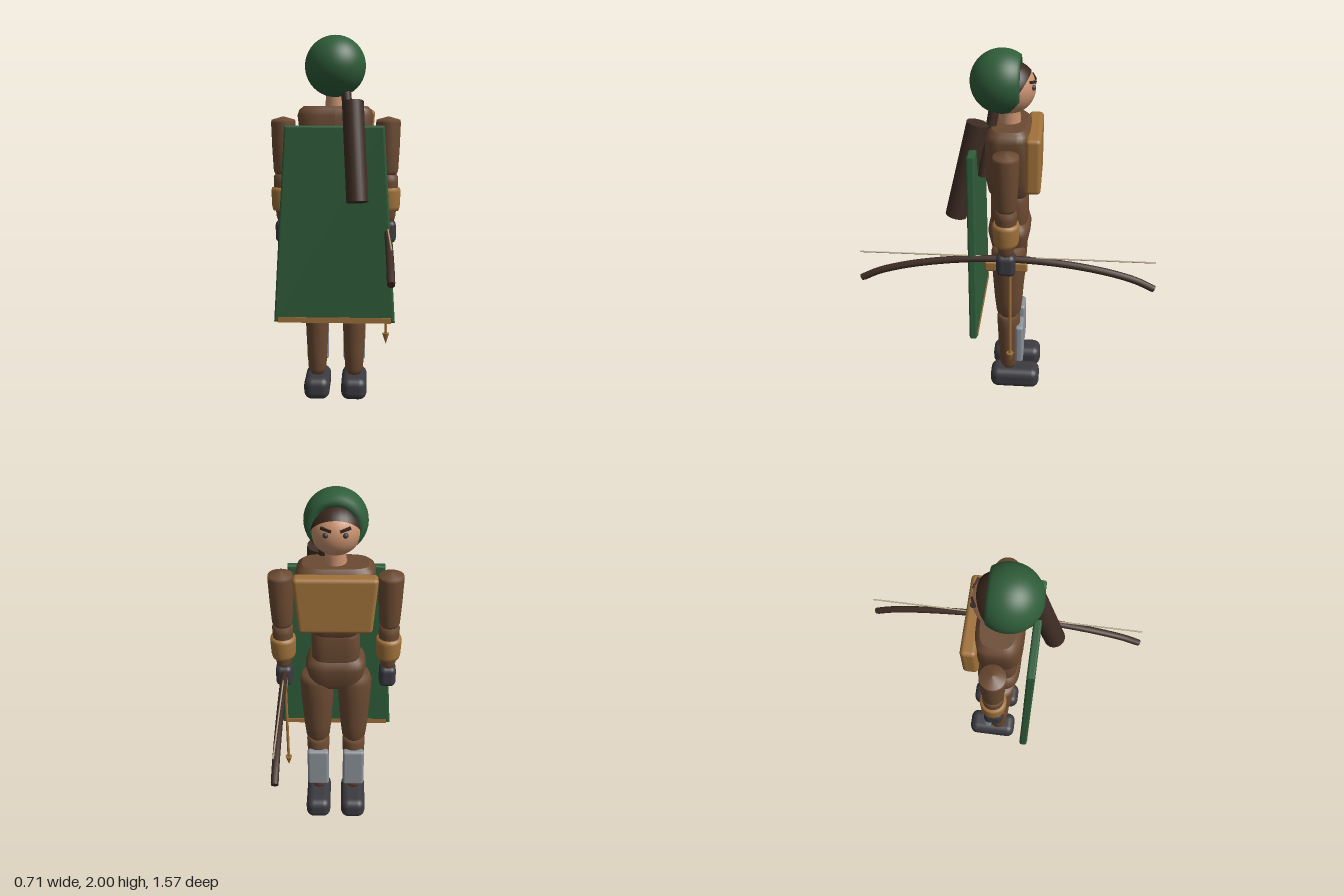
import * as THREE from 'three';
import { RoundedBoxGeometry } from 'three/addons/geometries/RoundedBoxGeometry.js';

const material = (name, color) => Object.assign(new THREE.MeshStandardMaterial({ color }), { name });

export function createModel() {
  const leather = material('brown leather', 0x6b4a32);
  const tan = material('tan leather', 0xa0723a);
  const wood = material('dark wood', 0x3f2d25);
  const green = material('forest green', 0x2f5d3a);
  const skin = material('skin', 0xc9926f);
  const dark = material('charcoal', 0x3a3a40);
  const steel = material('steel', 0x8b9299);
  const cord = material('bow cord', 0xb5a68a);
  const hairMat = material('dark hair', 0x38261d);

  const model = new THREE.Group();
  model.name = 'archer';

  const add = (name, geometry, mat, x = 0, y = 0, z = 0) => {
    const mesh = new THREE.Mesh(geometry, mat);
    mesh.name = name;
    mesh.position.set(x, y, z);
    model.add(mesh);
    return mesh;
  };
  const box = (w, h, d, r) => new RoundedBoxGeometry(w, h, d, 4, r);
  const turned = (points) =>
    new THREE.LatheGeometry(points.map(([r, y]) => new THREE.Vector2(r, y)), 28);

  // Soft box body: each section is [y, half width, half depth]
  const loft = (sections) => {
    const n = sections.length - 1;
    const geometry = new THREE.CylinderGeometry(1, 1, 1, 40, n);
    const p = geometry.attributes.position;
    const soft = (v) => Math.sign(v) * Math.pow(Math.abs(v), 0.55);
    for (let i = 0; i < p.count; i++) {
      const [y, w, d] = sections[Math.round((p.getY(i) + 0.5) * n)];
      p.setXYZ(i, soft(p.getX(i)) * w, y, soft(p.getZ(i)) * d);
    }
    geometry.computeVertexNormals();
    return geometry;
  };

  // Rod between two points
  const rod = (name, a, b, r, mat) => {
    const from = new THREE.Vector3(...a), to = new THREE.Vector3(...b);
    const dir = to.clone().sub(from);
    const mesh = add(name, new THREE.CylinderGeometry(r, r, dir.length(), 24), mat);
    mesh.position.copy(from).add(to).multiplyScalar(0.5);
    mesh.quaternion.setFromUnitVectors(new THREE.Vector3(0, 1, 0), dir.normalize());
    return mesh;
  };

  // Torso
  add('pelvis', loft([[0.89, 0.11, 0.07], [0.93, 0.14, 0.095], [1.03, 0.165, 0.115],
    [1.07, 0.155, 0.105], [1.09, 0.13, 0.08]]), leather);
  add('waist', loft([[1.06, 0.11, 0.085], [1.09, 0.13, 0.1], [1.22, 0.13, 0.1],
    [1.26, 0.11, 0.085]]), leather);
  add('chest', loft([[1.23, 0.11, 0.09], [1.27, 0.14, 0.112], [1.35, 0.165, 0.124],
    [1.5, 0.195, 0.125], [1.58, 0.205, 0.12], [1.61, 0.195, 0.11], [1.63, 0.17, 0.09]]), leather);

  // Chest plate, slightly narrower at the bottom
  const plate = box(0.43, 0.31, 0.08, 0.022);
  const pp = plate.attributes.position;
  for (let i = 0; i < pp.count; i++) pp.setX(i, pp.getX(i) * (0.94 + 0.387 * pp.getY(i)));
  add('chestPlate', plate, tan, 0, 1.455, -0.128);

  // Limbs, mirrored
  for (const [side, s] of [['left', 1], ['right', -1]]) {
    const leg = 0.104 * s, arm = 0.285 * s;
    add(side + 'Boot', box(0.143, 0.125, 0.285, 0.045), dark, leg, 0.0625, -0.037);
    add(side + 'Shin', turned([[0, 0.125], [0.035, 0.13], [0.05, 0.16], [0.056, 0.25],
      [0.064, 0.42], [0.066, 0.49], [0.05, 0.505], [0, 0.505]]), leather, leg);
    add(side + 'ShinGuard', box(0.125, 0.25, 0.046, 0.016), steel, leg, 0.32, -0.063);
    add(side + 'Thigh', turned([[0, 0.495], [0.045, 0.5], [0.068, 0.53], [0.078, 0.62],
      [0.09, 0.8], [0.095, 0.92], [0.08, 0.96], [0, 0.96]]), leather, leg);
    add(side + 'UpperArm', turned([[0, 1.255], [0.045, 1.26], [0.055, 1.28], [0.062, 1.4],
      [0.067, 1.54], [0.064, 1.557], [0, 1.575]]), leather, arm);
    add(side + 'Forearm', turned([[0, 0.99], [0.03, 0.99], [0.042, 1.03], [0.05, 1.1],
      [0.056, 1.22], [0.056, 1.25], [0.04, 1.268], [0, 1.268]]), leather, arm);
    add(side + 'Bracer', turned([[0.04, 1.06], [0.06, 1.064], [0.066, 1.085], [0.07, 1.17],
      [0.066, 1.188], [0.045, 1.192]]), tan, arm);
    add(side + 'Glove', box(0.092, 0.125, 0.102, 0.03), dark, arm, 0.948, 0);
  }

  // Head and face, looking toward -z
  const headY = 1.807;
  add('neck', new THREE.CylinderGeometry(0.052, 0.056, 0.12, 24), skin, 0, 1.665, 0);
  add('head', new THREE.SphereGeometry(0.13, 32, 24), skin, 0, headY, 0);
  const hair = add('hair', new THREE.SphereGeometry(0.135, 32, 20, 0, Math.PI * 2, 0, 1.86),
    hairMat, 0, headY, 0);
  hair.rotation.x = 0.96;
  for (const s of [1, -1]) {
    add('eye', new THREE.SphereGeometry(0.014, 14, 10), dark, 0.048 * s, 1.822, -0.117);
    const brow = add('eyebrow', new THREE.BoxGeometry(0.055, 0.012, 0.014), hairMat,
      0.047 * s, 1.85, -0.115);
    brow.rotation.set(0, -0.35 * s, 0.22 * s);
  }

  // Hood: hollow ball open at the face
  const hoodPoints = [];
  const arc = (r, from, to) => {
    for (let i = 0; i <= 20; i++) {
      const a = from + (to - from) * i / 20;
      hoodPoints.push(new THREE.Vector2(Math.max(0, r * Math.sin(a)), r * Math.cos(a)));
    }
  };
  const cut = Math.acos(0.094 / 0.162);
  arc(0.162, Math.PI, cut);
  arc(0.14, Math.acos(0.094 / 0.14), Math.PI);
  const hoodMat = green.clone();
  hoodMat.side = THREE.DoubleSide;
  const hood = add('hood', new THREE.LatheGeometry(hoodPoints, 40), hoodMat, 0, 1.838, 0.04);
  hood.rotation.x = -Math.PI / 2;

  // Cape with a hem
  const capeShape = new THREE.Shape([[-0.313, 0.49], [0.313, 0.49], [0.25, 1.517], [-0.25, 1.517]]
    .map(([x, y]) => new THREE.Vector2(x, y)));
  add('cape', new THREE.ExtrudeGeometry(capeShape, {
    depth: 0.022, bevelThickness: 0.01, bevelSize: 0.011, bevelSegments: 3,
  }), green, 0, 0, 0.168);
  add('capeHem', new THREE.BoxGeometry(0.605, 0.03, 0.047), tan, 0, 0.494, 0.179);

  // Quiver and strap
  rod('quiver', [0.095, 1.65, 0.155], [0.122, 1.14, 0.278], 0.057, wood);
  rod('quiverStrap', [0.052, 1.75, 0.07], [0.095, 1.36, 0.135], 0.027, wood);

  // Bow, held level along z
  const bowX = 0.282;
  const limb = [[0.765, 0.83], [0.68, 0.872], [0.54, 0.914], [0.36, 0.948], [0.18, 0.968]];
  const bowPath = [...limb, [0, 0.974], ...limb.slice().reverse().map(([z, y]) => [-z, y])]
    .map(([z, y]) => new THREE.Vector3(bowX, y, z));
  add('bow', new THREE.TubeGeometry(new THREE.CatmullRomCurve3(bowPath), 64, 0.019, 12), wood);
  for (const s of [1, -1]) {
    rod('bowTip', [bowX, 0.832, 0.763 * s], [bowX, 0.826, 0.775 * s], 0.018, wood);
  }
  add('bowGrip', box(0.036, 0.058, 0.225, 0.012), tan, bowX, 0.932, 0);
  rod('bowString', [bowX, 0.986, -0.77], [bowX, 0.986, 0.77], 0.004, cord);

  // Arrow hanging from the hand
  rod('arrowShaft', [bowX, 0.34, -0.02], [bowX, 0.94, -0.02], 0.008, tan);
  const tip = add('arrowHead', new THREE.ConeGeometry(0.02, 0.062, 12), tan, bowX, 0.328, -0.02);
  tip.rotation.x = Math.PI;

  return model;
}
